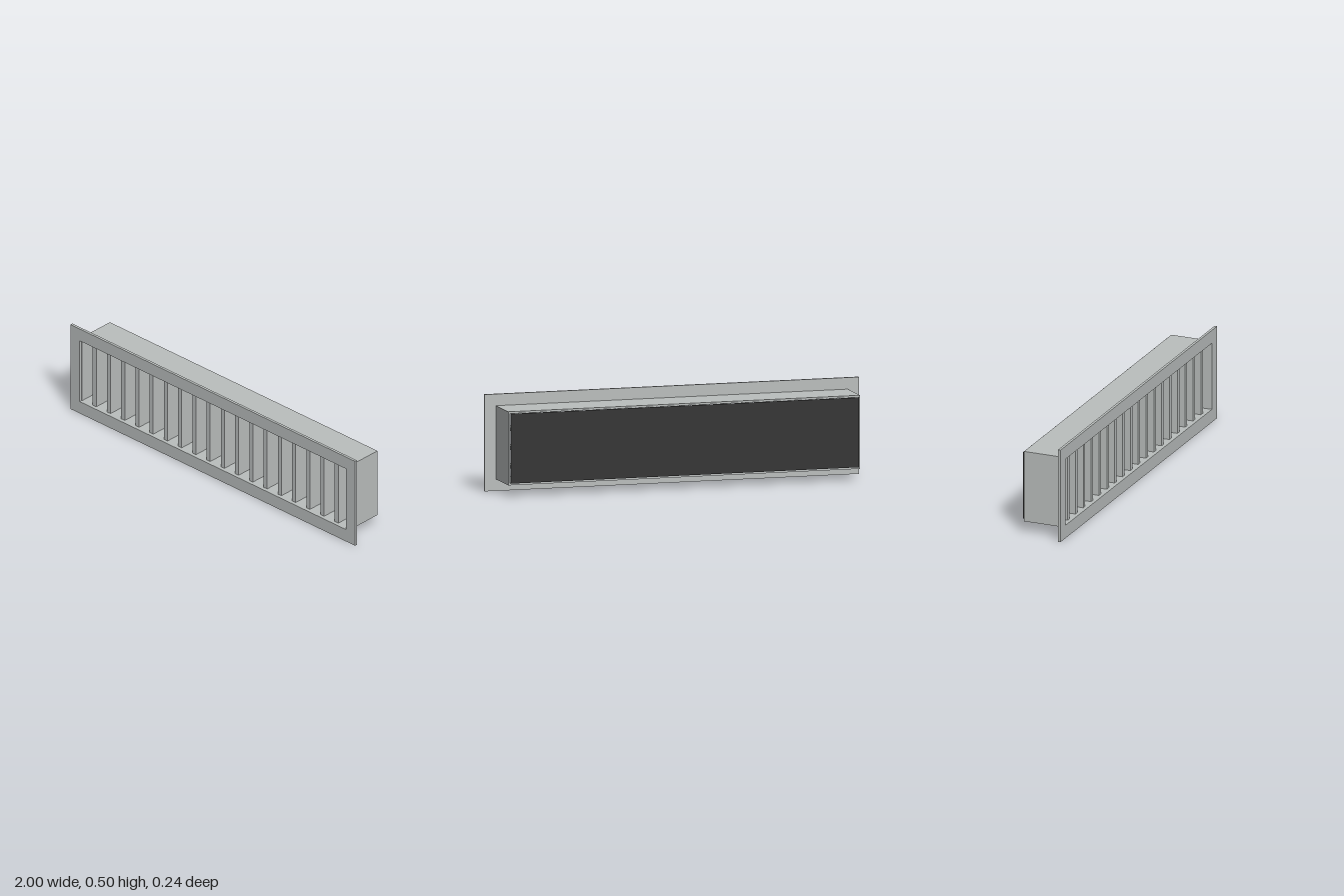
import * as THREE from 'three';

const metal = new THREE.MeshStandardMaterial({ color: 0xbabebd });
metal.name = 'paleGreyMetal';
const dark = new THREE.MeshStandardMaterial({ color: 0x333333 });
dark.name = 'darkBacking';

const MID_Y = 0.25;

// Rectangular ring extruded from zBack to zFront, centred on MID_Y
function ring(name, w, h, innerW, innerH, zBack, zFront) {
  const rect = (P, a, b) => {
    const p = new P();
    p.moveTo(-a / 2, -b / 2);
    p.lineTo(a / 2, -b / 2);
    p.lineTo(a / 2, b / 2);
    p.lineTo(-a / 2, b / 2);
    p.closePath();
    return p;
  };
  const shape = rect(THREE.Shape, w, h);
  shape.holes.push(rect(THREE.Path, innerW, innerH));
  const geo = new THREE.ExtrudeGeometry(shape, { depth: zFront - zBack, bevelEnabled: false });
  const mesh = new THREE.Mesh(geo, metal);
  mesh.name = name;
  mesh.position.set(0, MID_Y, zBack);
  return mesh;
}

function box(name, w, h, zBack, zFront, x, y, material) {
  const mesh = new THREE.Mesh(new THREE.BoxGeometry(w, h, zFront - zBack), material);
  mesh.name = name;
  mesh.position.set(x, y, (zBack + zFront) / 2);
  return mesh;
}

export function createModel() {
  const model = new THREE.Group();
  model.name = 'ventGrille';

  // Front flange and the duct sleeve behind it
  model.add(ring('frontFlange', 2, 0.5, 1.87, 0.36, 0.106, 0.12));
  model.add(ring('ductSleeve', 1.88, 0.38, 1.865, 0.36, -0.109, 0.106));

  // Upright blades in front
  const uprights = new THREE.Group();
  uprights.name = 'verticalBlades';
  for (let i = 0; i < 18; i++) {
    uprights.add(box('verticalBlade', 0.025, 0.36, -0.015, 0.1, -0.85 + i * 0.1, MID_Y, metal));
  }
  model.add(uprights);

  // Level blades behind the uprights
  const levels = new THREE.Group();
  levels.name = 'horizontalBlades';
  for (let i = -1; i <= 1; i++) {
    levels.add(box('horizontalBlade', 1.866, 0.016, -0.1, -0.02, 0, MID_Y + i * 0.097, metal));
  }
  model.add(levels);

  // Dark plate just behind the sleeve
  model.add(box('backPlate', 1.86, 0.36, -0.12, -0.114, 0, MID_Y, dark));

  return model;
}
